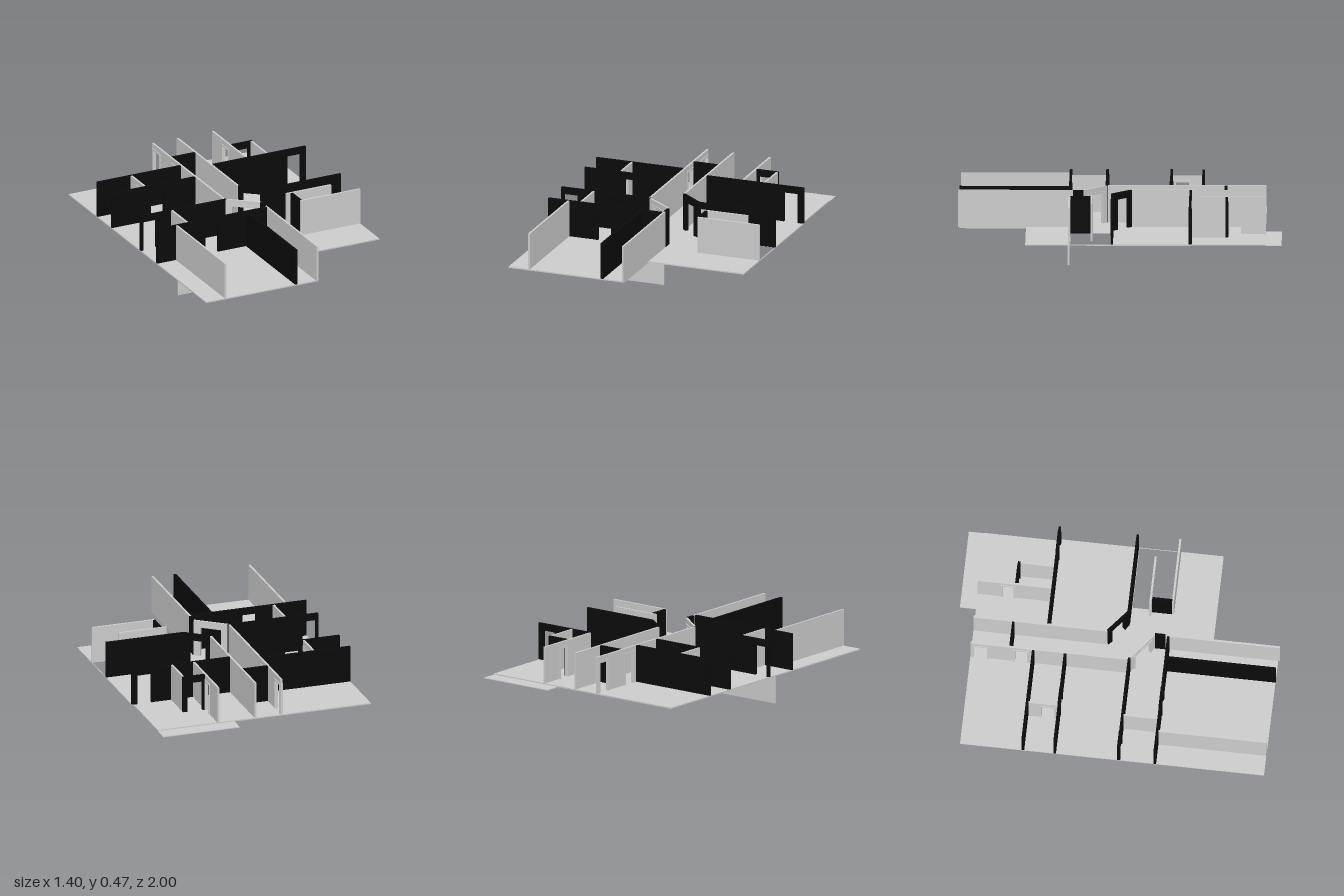
import * as THREE from 'three';

const FLOOR = 0.236, TOP = 0.467, DOOR_TOP = 0.437;
const JAMB = 0.012;

const lightGrey = new THREE.MeshStandardMaterial({ color: 0xcccccc });
lightGrey.name = 'lightGrey';
const black = new THREE.MeshStandardMaterial({ color: 0x0b0b0b });
black.name = 'black';

// Flat slab from a floor outline of [x, z] points
function slab(name, outline, bottom, top, hole) {
  const toPoint = ([x, z]) => new THREE.Vector2(x, -z);
  const shape = new THREE.Shape(outline.map(toPoint));
  if (hole) shape.holes.push(new THREE.Path(hole.map(toPoint)));
  const geo = new THREE.ExtrudeGeometry(shape, { depth: top - bottom, bevelEnabled: false });
  geo.rotateX(-Math.PI / 2);
  geo.translate(0, bottom, 0);
  const mesh = new THREE.Mesh(geo, lightGrey);
  mesh.name = name;
  return mesh;
}

// Upright panel: outline of [distance, height] points, centred on its own thickness
function panel(points, thickness, material, name) {
  const shape = new THREE.Shape(points.map(([u, v]) => new THREE.Vector2(u, v)));
  const geo = new THREE.ExtrudeGeometry(shape, { depth: thickness, bevelEnabled: false });
  geo.translate(0, 0, -thickness / 2);
  const mesh = new THREE.Mesh(geo, material);
  mesh.name = name;
  return mesh;
}

// Wall between two floor points; door = [start, end] as distances along it
function wall(name, material, x0, z0, x1, z1, door) {
  const group = new THREE.Group();
  group.name = name;
  const length = Math.hypot(x1 - x0, z1 - z0);
  const outline = [[0, FLOOR]];
  if (door) {
    const [a, b] = door;
    outline.push([a, FLOOR], [a, DOOR_TOP], [b, DOOR_TOP], [b, FLOOR]);
    // Door frame standing slightly proud of the wall
    const i = a + JAMB, j = b - JAMB, h = DOOR_TOP - JAMB;
    group.add(panel([
      [a, FLOOR], [i, FLOOR], [i, h], [j, h], [j, FLOOR], [b, FLOOR], [b, DOOR_TOP], [a, DOOR_TOP],
    ], 0.022, material, 'doorFrame'));
  }
  outline.push([length, FLOOR], [length, TOP], [0, TOP]);
  group.add(panel(outline, material === black ? 0.016 : 0.013, material, 'wallPanel'));
  group.position.set(x0, 0, z0);
  group.rotation.y = -Math.atan2(z1 - z0, x1 - x0);
  return group;
}

export function createModel() {
  const model = new THREE.Group();
  model.name = 'floorPlan';

  // Main floor with the stair opening, and the lower balcony behind
  model.add(slab('floor', [
    [-0.7, -0.9], [0.69, -0.9], [0.69, -0.44], [0.7, -0.44], [0.7, 0.58],
    [0.068, 0.58], [0.068, 0.99], [-0.7, 0.985],
  ], 0.228, FLOOR, [[0.303, 0.058], [0.696, 0.058], [0.696, 0.303], [0.303, 0.303]]));
  model.add(slab('balcony', [[0.19, -1], [0.69, -1], [0.69, -0.9], [0.19, -0.9]], 0.225, 0.23));

  // Wall hanging below the floor
  const lower = new THREE.Mesh(new THREE.BoxGeometry(0.63, 0.228, 0.013), lightGrey);
  lower.name = 'lowerWall';
  lower.position.set(-0.245, 0.114, 0.318);
  model.add(lower);

  const walls = [
    // Dark walls across the plan
    ['backRoomWall', black, -0.7, -0.51, -0.125, -0.51],
    ['bathBackWall', black, -0.7, -0.313, -0.125, -0.313, [0.255, 0.37]],
    ['corridorEndWall', black, -0.112, -0.652, 0.047, -0.652],
    ['middleRoomWall', black, -0.7, 0.083, -0.108, 0.083, [0.005, 0.12]],
    ['frontRoomWall', black, -0.7, 0.308, 0.058, 0.308, [0.32, 0.432]],
    ['closetWall', black, 0.302, -0.66, 0.445, -0.66, [0.004, 0.125]],
    ['bedroomWall', black, 0.06, -0.436, 0.7, -0.436, [0.5, 0.616]],
    ['stairBackWall', black, 0.19, 0.047, 0.7, 0.047],
    ['stairSideWall', black, 0.295, 0.182, 0.295, 0.306],
    ['frontDividerWall', black, -0.08, 0.317, -0.08, 0.99],
    ['hallStubWall', black, 0.062, 0.225, 0.062, 0.29],
    ['hallDiagonalWall', black, 0.052, -0.068, 0.192, 0.047, [0.02, 0.152]],
    // Pale walls along the plan
    ['hallDiagonalWallLeft', lightGrey, -0.112, 0.085, 0.062, 0.222, [0.03, 0.19]],
    ['corridorLeftWall', lightGrey, -0.118, -0.9, -0.118, 0.076, [0.01, 0.115]],
    ['corridorRightWall', lightGrey, 0.053, -0.9, 0.053, -0.068],
    ['bathSideWall', lightGrey, -0.465, -0.502, -0.465, -0.321, [0.07, 0.172]],
    ['middleSideWall', lightGrey, -0.485, 0.091, -0.485, 0.3],
    ['frontLeftWall', lightGrey, -0.565, 0.316, -0.565, 0.985],
    ['frontRightWall', lightGrey, 0.062, 0.29, 0.062, 1],
    ['bedroomSideWall', lightGrey, 0.295, -0.9, 0.295, -0.444, [0.14, 0.235]],
    ['closetSideWall', lightGrey, 0.438, -0.652, 0.438, -0.444],
    ['stairMiddleWall', lightGrey, 0.26, 0.173, 0.57, 0.173],
    ['stairFrontWall', lightGrey, 0.29, 0.311, 0.7, 0.311],
  ];
  for (const w of walls) model.add(wall(...w));

  // Second doorway in the left corridor wall
  const left = model.getObjectByName('corridorLeftWall');
  model.remove(left);
  model.add(wall('corridorLeftWallBack', lightGrey, -0.118, -0.9, -0.118, -0.7, [0.01, 0.115]));
  model.add(wall('corridorLeftWallFront', lightGrey, -0.118, -0.7, -0.118, 0.076, [0.065, 0.165]));

  return model;
}
